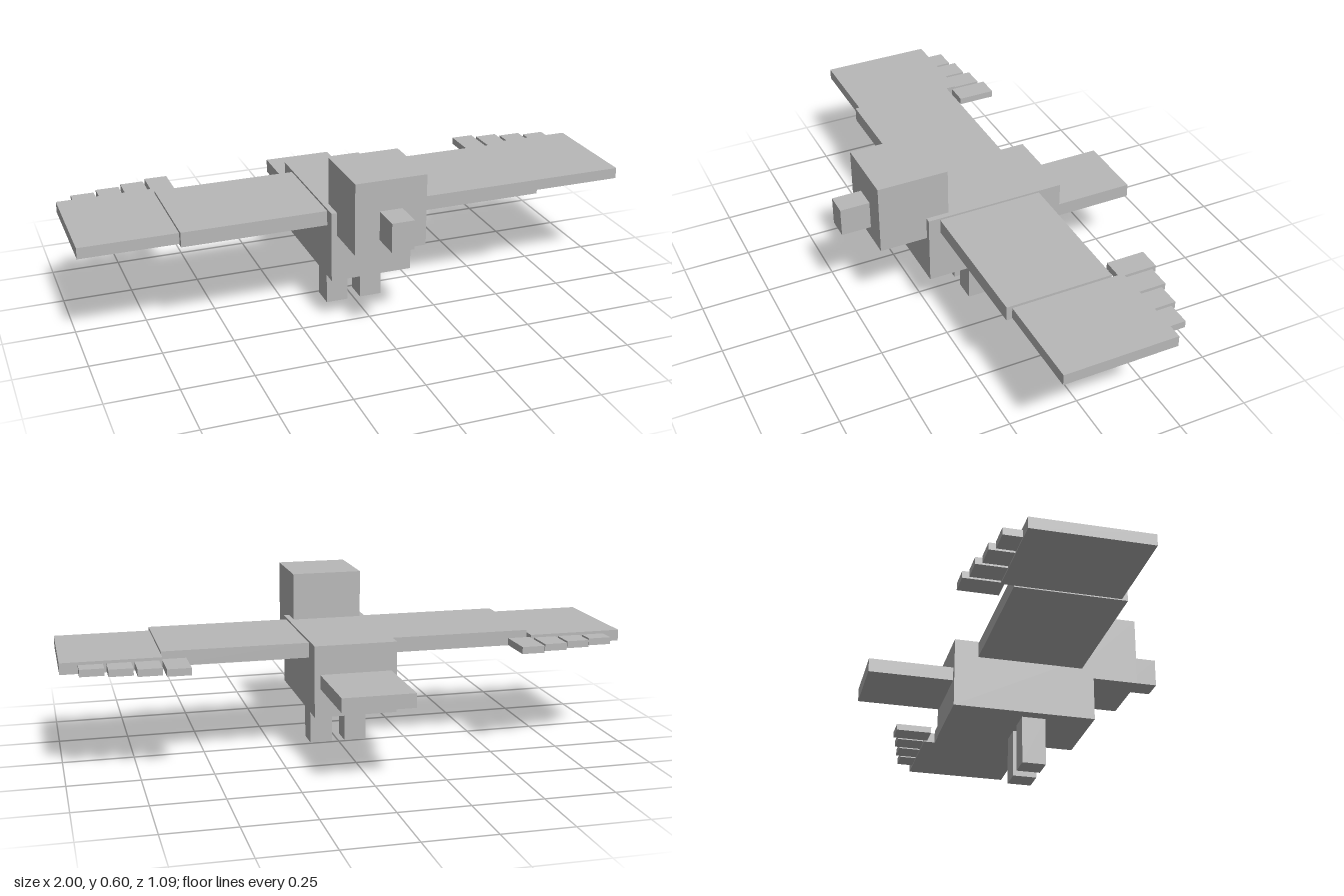
import * as THREE from 'three';

export function createModel() {
  const model = new THREE.Group();
  model.name = 'blockBird';
  const plainGrey = new THREE.MeshStandardMaterial({ color: 0xb8b8b8 });
  plainGrey.name = 'plainGrey';

  // Box spanning the given [min, max] ranges
  function box(name, [x0, x1], [y0, y1], [z0, z1]) {
    const mesh = new THREE.Mesh(new THREE.BoxGeometry(x1 - x0, y1 - y0, z1 - z0), plainGrey);
    mesh.position.set((x0 + x1) / 2, (y0 + y1) / 2, (z0 + z1) / 2);
    mesh.name = name;
    model.add(mesh);
  }

  // Matching boxes on the left (+x) and right (-x)
  function pair(name, [x0, x1], y, z) {
    box('left' + name, [x0, x1], y, z);
    box('right' + name, [-x1, -x0], y, z);
  }

  // Trunk, head and tail
  box('body', [-0.147, 0.147], [0.173, 0.427], [-0.245, 0.265]);
  box('head', [-0.127, 0.127], [0.343, 0.598], [0.182, 0.437]);
  box('beak', [-0.04, 0.04], [0.387, 0.49], [0.437, 0.543]);
  box('tail', [-0.127, 0.127], [0.275, 0.325], [-0.543, -0.245]);

  // Legs
  pair('Leg', [0.024, 0.105], [0, 0.173], [0.01, 0.095]);

  // Two-section wings
  pair('InnerWing', [0.147, 0.66], [0.367, 0.42], [-0.16, 0.222]);
  pair('OuterWing', [0.66, 1], [0.371, 0.411], [-0.203, 0.202]);

  // Wing feathers, shorter towards the tip
  for (let i = 0; i < 4; i++) {
    const x = 0.578 + i * 0.093;
    pair('Feather' + (i + 1), [x, x + 0.082], [0.376, 0.401], [-0.329 + i * 0.021, -0.19]);
  }

  return model;
}
